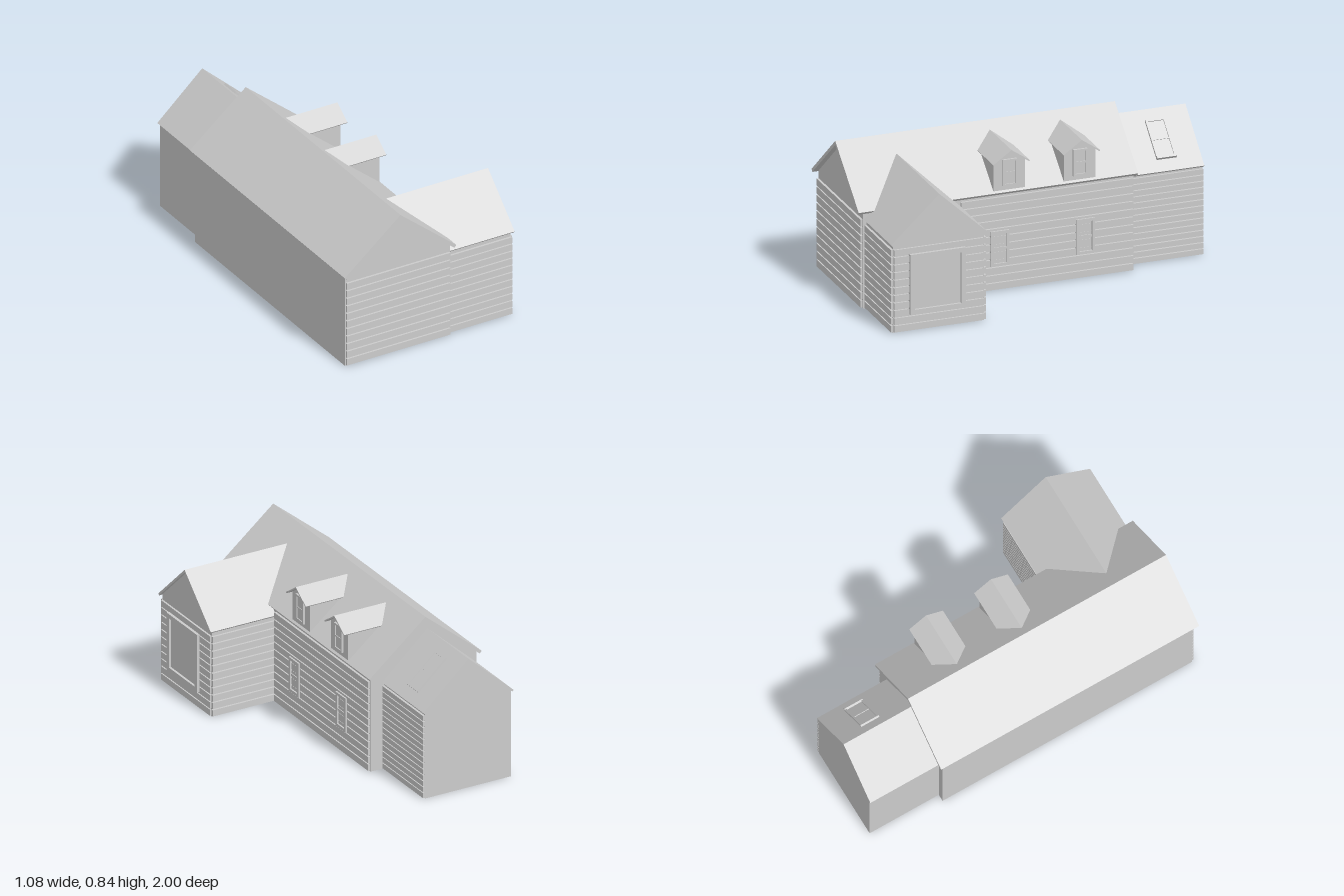
import * as THREE from 'three';

const grey = new THREE.MeshStandardMaterial({ color: 0xcccccc, flatShading: true });

function add(parent, name, geometry, x = 0, y = 0, z = 0) {
  const mesh = new THREE.Mesh(geometry, grey);
  mesh.name = name;
  mesh.position.set(x, y, z);
  parent.add(mesh);
  return mesh;
}

function box(parent, name, w, h, d, x, y, z) {
  return add(parent, name, new THREE.BoxGeometry(w, h, d), x, y, z);
}

function part(parent, name, x, y, z, turn = 0) {
  const g = new THREE.Group();
  g.name = name;
  g.position.set(x, y, z);
  g.rotation.y = turn;
  parent.add(g);
  return g;
}

// Extrudes a list of [x, y] corners from z0 to z1
function prism(points, z0, z1) {
  const shape = new THREE.Shape(points.map(p => new THREE.Vector2(...p)));
  return new THREE.ExtrudeGeometry(shape, { depth: z1 - z0, bevelEnabled: false }).translate(0, 0, z0);
}

// Gabled walls plus a folded roof slab, running along local z
function gabled(g, { wall, base = 0, walls, half, eave, ridge, t, roof }) {
  const len = Math.hypot(half, ridge - eave);
  const sin = (ridge - eave) / len, cos = half / len;
  const innerRidge = ridge - t / cos;
  const wallTop = innerRidge - wall * sin / cos;
  add(g, 'walls', prism([[-wall, base], [wall, base], [wall, wallTop], [0, innerRidge], [-wall, wallTop]], ...walls));
  const ix = half - t * sin, iy = eave - t * cos;
  add(g, 'roof', prism([[half, eave], [0, ridge], [-half, eave], [-ix, iy], [0, innerRidge], [ix, iy]], ...roof));
}

// Rows of horizontal boards facing local +z, starting at the ground
function siding(parent, length, top, rows, x, z, turn) {
  const g = part(parent, 'siding', x, 0, z, turn);
  const pitch = top / rows;
  for (let i = 0; i < rows; i++) {
    box(g, 'board', length, pitch * 0.84, 0.014, 0, pitch * (i + 0.54), 0.006);
  }
}

// Rectangular frame with a recessed pane, facing local +z
function framed(g, w, h, border, depth, { bar = false, sill = false } = {}) {
  const s = new THREE.Shape([[-w, -h], [w, -h], [w, h], [-w, h]].map(([x, y]) => new THREE.Vector2(x / 2, y / 2)));
  const a = w / 2 - border, b = h / 2 - border;
  s.holes.push(new THREE.Path([[-a, -b], [-a, b], [a, b], [a, -b]].map(p => new THREE.Vector2(...p))));
  add(g, 'frame', new THREE.ExtrudeGeometry(s, { depth, bevelEnabled: false }));
  box(g, 'pane', 2 * a, 2 * b, depth * 0.5, 0, 0, depth * 0.25);
  if (bar) box(g, 'sashBar', 2 * a, border * 0.8, depth * 0.8, 0, 0, depth * 0.4);
  if (sill) box(g, 'sill', w, border * 1.4, depth * 1.6, 0, -h / 2 + border * 0.7, depth * 0.8);
}

export function createModel() {
  const house = new THREE.Group();
  house.name = 'house';
  const R = Math.PI / 2;

  // Main house
  const main = part(house, 'mainHouse', -0.2, 0, 0);
  gabled(main, { wall: 0.326, walls: [-0.57, 0.968], half: 0.345, eave: 0.555, ridge: 0.84, t: 0.018, roof: [-0.59, 1] });
  siding(house, 0.64, 0.507, 11, -0.2, 0.968, 0);
  siding(house, 0.98, 0.53, 12, 0.126, -0.075, R);

  // Rear extension
  const rear = part(house, 'rearExtension', -0.222, 0, 0);
  gabled(rear, { wall: 0.264, walls: [-0.996, -0.55], half: 0.278, eave: 0.508, ridge: 0.76, t: 0.012, roof: [-1, -0.56] });
  siding(house, 0.425, 0.49, 14, 0.042, -0.783, R);

  // Side wing, its ridge dying into the main roof
  const wing = part(house, 'sideWing', 0, 0, 0.69, R);
  gabled(wing, { wall: 0.258, walls: [0, 0.512], half: 0.274, eave: 0.506, ridge: 0.76, t: 0.012, roof: [-0.1, 0.528] });
  for (const s of [1, -1]) siding(house, 0.385, 0.475, 11, 0.322, 0.69 + s * 0.258, s > 0 ? 0 : Math.PI);
  siding(house, 0.51, 0.475, 11, 0.51, 0.69, R);
  framed(part(house, 'wingDoor', 0.512, 0.27, 0.702, R), 0.316, 0.34, 0.025, 0.027);

  // Dormers
  for (const z of [0.14, -0.26]) {
    const dormer = part(house, 'dormer', 0, 0, z, R);
    gabled(dormer, { wall: 0.09, base: 0.565, walls: [-0.08, 0.135], half: 0.104, eave: 0.728, ridge: 0.8, t: 0.007, roof: [-0.15, 0.168] });
    framed(part(dormer, 'dormerWindow', 0, 0.665, 0.135), 0.08, 0.15, 0.011, 0.012, { bar: true });
  }

  // Wall windows
  for (const z of [0.197, -0.29]) {
    framed(part(house, 'wallWindow', 0.126, 0.24, z, R), 0.105, 0.2, 0.016, 0.022, { bar: true });
  }

  // Skylight lying on the extension roof
  const sky = part(house, 'skylight', -0.084, 0.635, -0.805, R);
  sky.rotation.order = 'YXZ';
  sky.rotation.x = -Math.atan2(0.278, 0.252);
  framed(sky, 0.112, 0.235, 0.011, 0.012, { bar: true, sill: true });

  return house;
}
